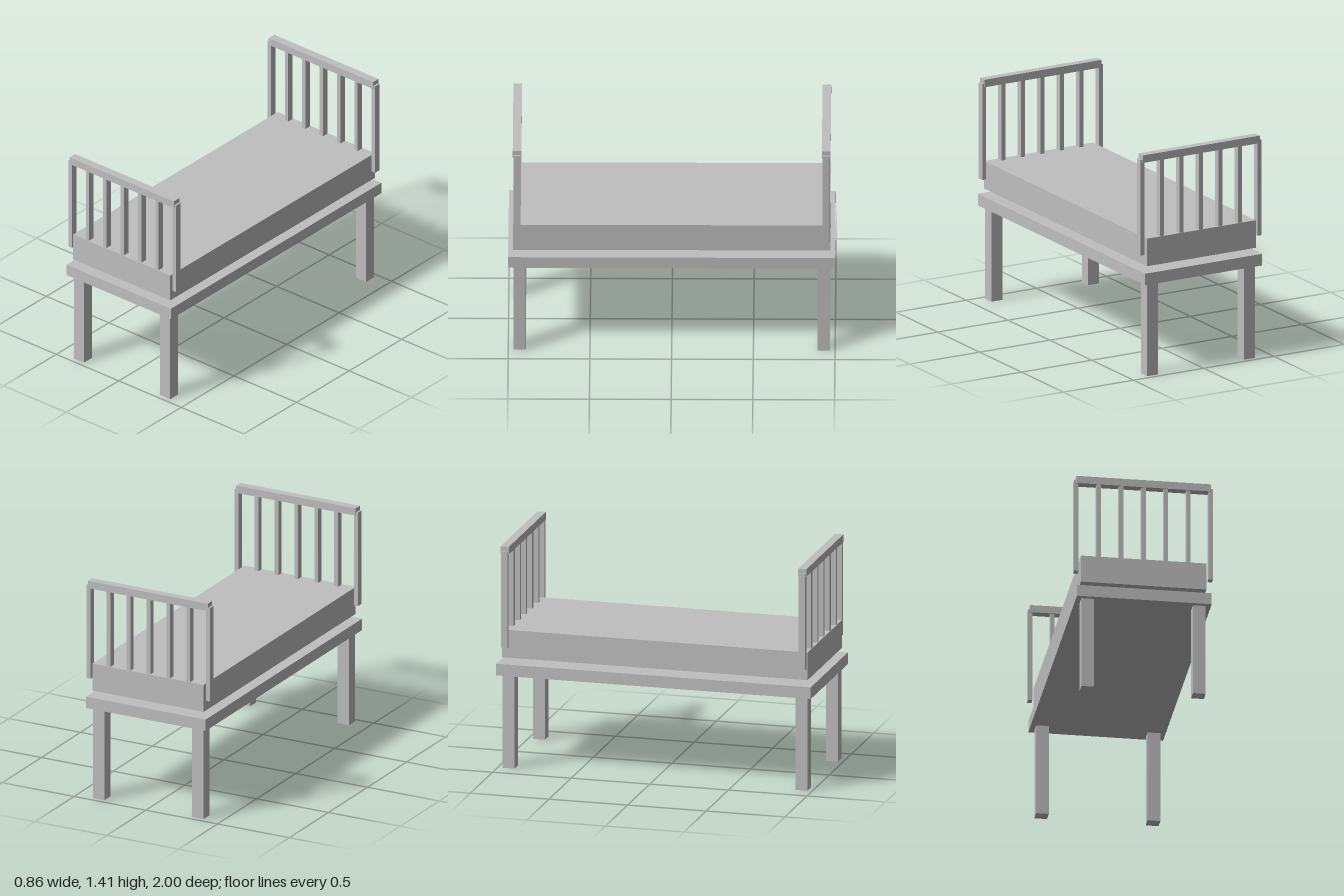
import * as THREE from 'three';

export function createModel() {
  const model = new THREE.Group();
  model.name = 'bed';
  const grey = new THREE.MeshStandardMaterial({ color: 0xbfbfbf });
  grey.name = 'grey';

  // Box centred on (x, z), spanning y0 to y1
  function addBox(parent, name, width, depth, y0, y1, x = 0, z = 0) {
    const mesh = new THREE.Mesh(new THREE.BoxGeometry(width, y1 - y0, depth), grey);
    mesh.name = name;
    mesh.position.set(x, (y0 + y1) / 2, z);
    parent.add(mesh);
  }

  // Base board with the mattress hovering just above it
  addBox(model, 'base', 0.834, 2, 0.593, 0.667);
  addBox(model, 'mattress', 0.776, 1.944, 0.703, 0.879);

  // Four square legs
  for (const x of [-0.345, 0.345]) {
    for (const z of [-0.931, 0.931]) addBox(model, 'leg', 0.079, 0.076, 0, 0.593, x, z);
  }

  // Matching head and foot boards: rail, outer posts and five spindles
  for (const [name, z] of [['footboard', 0.946], ['headboard', -0.946]]) {
    const board = new THREE.Group();
    board.name = name;
    board.position.z = z;
    addBox(board, 'topRail', 0.834, 0.053, 1.367, 1.415);
    for (const x of [-0.416, 0.416]) addBox(board, 'post', 0.027, 0.043, 0.776, 1.387, x);
    for (let i = -2; i <= 2; i++) addBox(board, 'spindle', 0.027, 0.043, 0.876, 1.37, i * 0.139);
    model.add(board);
  }
  return model;
}
